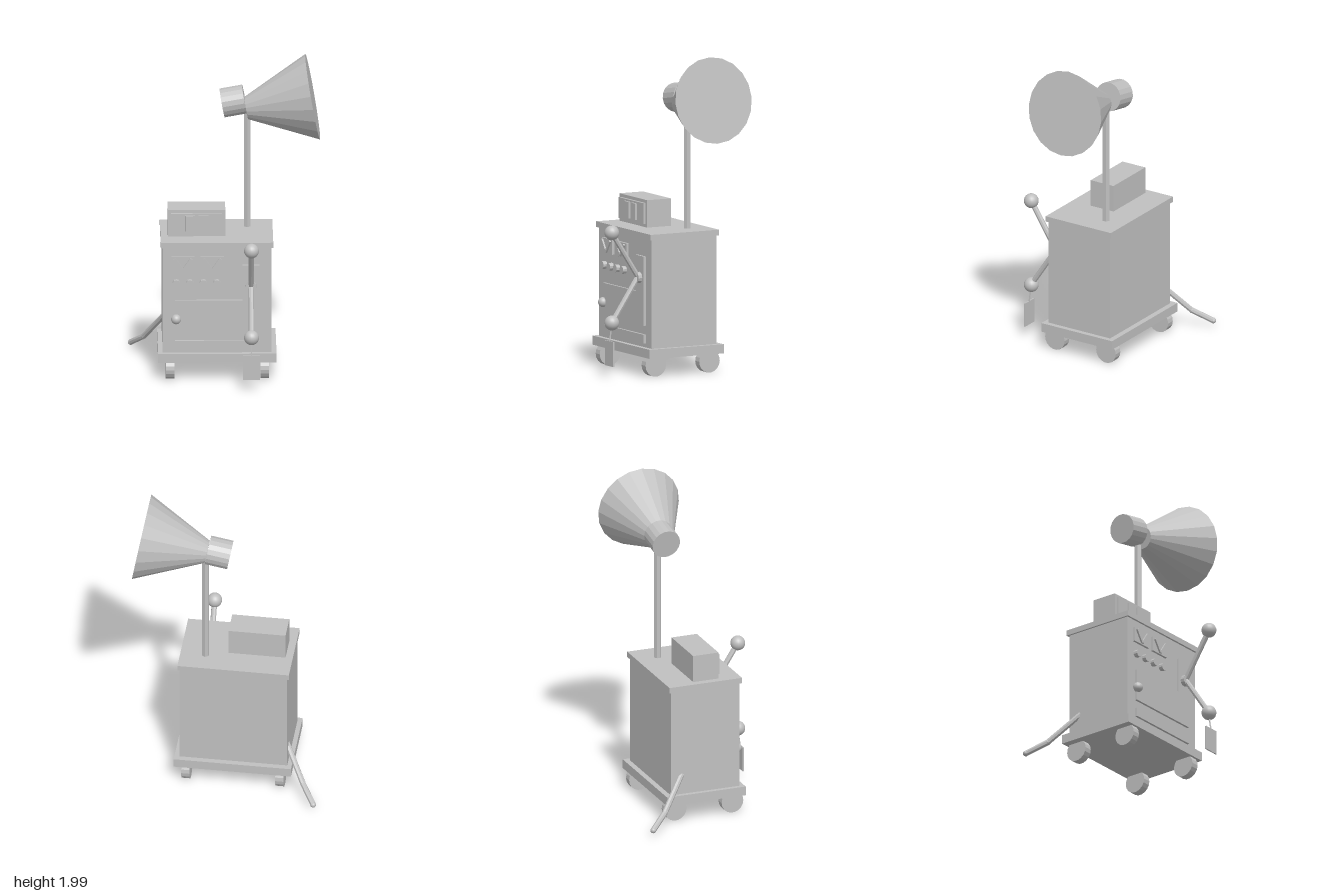
import * as THREE from 'three';

export function createModel() {
  const model = new THREE.Group();
  const grey = new THREE.MeshStandardMaterial({ color: 0xc0c0c0 });

  const add = (name, geometry) => {
    const mesh = new THREE.Mesh(geometry, grey);
    mesh.name = name;
    model.add(mesh);
    return mesh;
  };
  // hard-edged copy of a geometry
  const faceted = (g) => {
    const flat = g.toNonIndexed();
    flat.computeVertexNormals();
    return flat;
  };
  // box given by its limits on each axis
  const box = (name, x0, x1, y0, y1, z0, z1) => {
    const mesh = add(name, new THREE.BoxGeometry(x1 - x0, y1 - y0, z1 - z0));
    mesh.position.set((x0 + x1) / 2, (y0 + y1) / 2, (z0 + z1) / 2);
    return mesh;
  };
  // cylinder or cone running between two points
  const rod = (name, from, to, r0, r1 = r0, sides = 8) => {
    const a = new THREE.Vector3(...from), b = new THREE.Vector3(...to);
    const d = b.clone().sub(a);
    const mesh = add(name, faceted(new THREE.CylinderGeometry(r1, r0, d.length(), sides)));
    mesh.position.copy(a).add(b).multiplyScalar(0.5);
    mesh.quaternion.setFromUnitVectors(new THREE.Vector3(0, 1, 0), d.normalize());
    return mesh;
  };
  const ball = (name, p, r) => {
    const mesh = add(name, new THREE.SphereGeometry(r, 20, 14));
    mesh.position.set(...p);
    return mesh;
  };

  // cabinet
  box('cabinet', -0.385, 0.284, 0.18, 0.855, -0.25, 0.205);
  box('cabinetTop', -0.397, 0.295, 0.855, 0.89, -0.263, 0.218);
  box('basePlate', -0.413, 0.315, 0.123, 0.18, -0.285, 0.236);

  // wheels
  for (const x of [-0.34, 0.243])
    for (const z of [0.167, -0.21])
      rod('wheel', [x - 0.026, 0.075, z], [x + 0.026, 0.075, z], 0.072, 0.072, 18);

  // sign box with a plain raised panel
  box('signBox', -0.352, 0.002, 0.89, 1.06, -0.088, 0.08);
  box('signPanel', -0.333, -0.018, 0.91, 1.04, 0.08, 0.095);
  for (const x of [-0.215, -0.133])
    box('signRelief', x - 0.03, x + 0.03, 0.925, 1.028, 0.095, 0.108);

  // gauges, each with a pair of slanted pointers
  for (const x of [-0.261, -0.081]) {
    box('gauge', x - 0.071, x + 0.071, 0.707, 0.80, 0.2, 0.22);
    for (const s of [-1, 1]) {
      const pointer = box('gaugePointer', -0.008, 0.008, 0, 0.09, 0.22, 0.232);
      pointer.position.set(x + s * 0.026, 0.753, 0.225);
      pointer.rotation.z = -s * 0.6;
    }
  }

  // row of dials
  for (let i = 0; i < 4; i++) {
    const x = -0.301 + i * 0.083;
    rod('dial', [x, 0.63, 0.2], [x, 0.63, 0.232], 0.024, 0.024, 10);
  }

  // stepped door and lower slot
  const outline = [[-0.31, 0.315], [0.21, 0.315], [0.21, 0.745], [0.105, 0.745], [0.105, 0.52], [-0.31, 0.52]];
  const doorShape = new THREE.Shape(outline.map(([x, y]) => new THREE.Vector2(x, y)));
  add('door', new THREE.ExtrudeGeometry(doorShape, { depth: 0.02, bevelEnabled: false })).position.z = 0.2;
  ball('doorKnob', [-0.303, 0.4, 0.222], 0.031);
  box('lowerSlot', -0.31, 0.21, 0.205, 0.26, 0.2, 0.22);

  // two-armed lever
  const lx = 0.158;
  rod('leverHub', [lx, 0.61, 0.2], [lx, 0.61, 0.246], 0.035, 0.035, 12);
  for (const y of [0.9, 0.34]) {
    rod('leverArm', [lx, 0.615, 0.232], [lx, y, 0.415], 0.017);
    ball('leverBall', [lx, y, 0.415], 0.046);
  }

  // hanging tag
  rod('tagCord', [lx, 0.31, 0.418], [lx, 0.225, 0.43], 0.005, 0.005, 6);
  box('tag', 0.106, 0.21, 0.073, 0.228, 0.426, 0.434);

  // pole, horn and horn driver
  rod('pole', [0.139, 0.88, -0.125], [0.139, 1.69, -0.125], 0.024, 0.024, 6);
  rod('horn', [0.133, 1.662, -0.09], [0.541, 1.734, -0.088], 0.07, 0.267, 20);
  rod('hornDriver', [-0.015, 1.683, -0.129], [0.123, 1.708, -0.129], 0.091, 0.091, 18);

  // bent power cable at the back
  const cable = [[-0.33, 0.365, -0.12], [-0.495, 0.115, -0.335], [-0.573, 0.043, -0.443]];
  for (let i = 0; i < 2; i++) {
    rod('cable', cable[i], cable[i + 1], 0.018);
    ball('cableJoint', cable[i + 1], 0.018);
  }

  return model;
}
